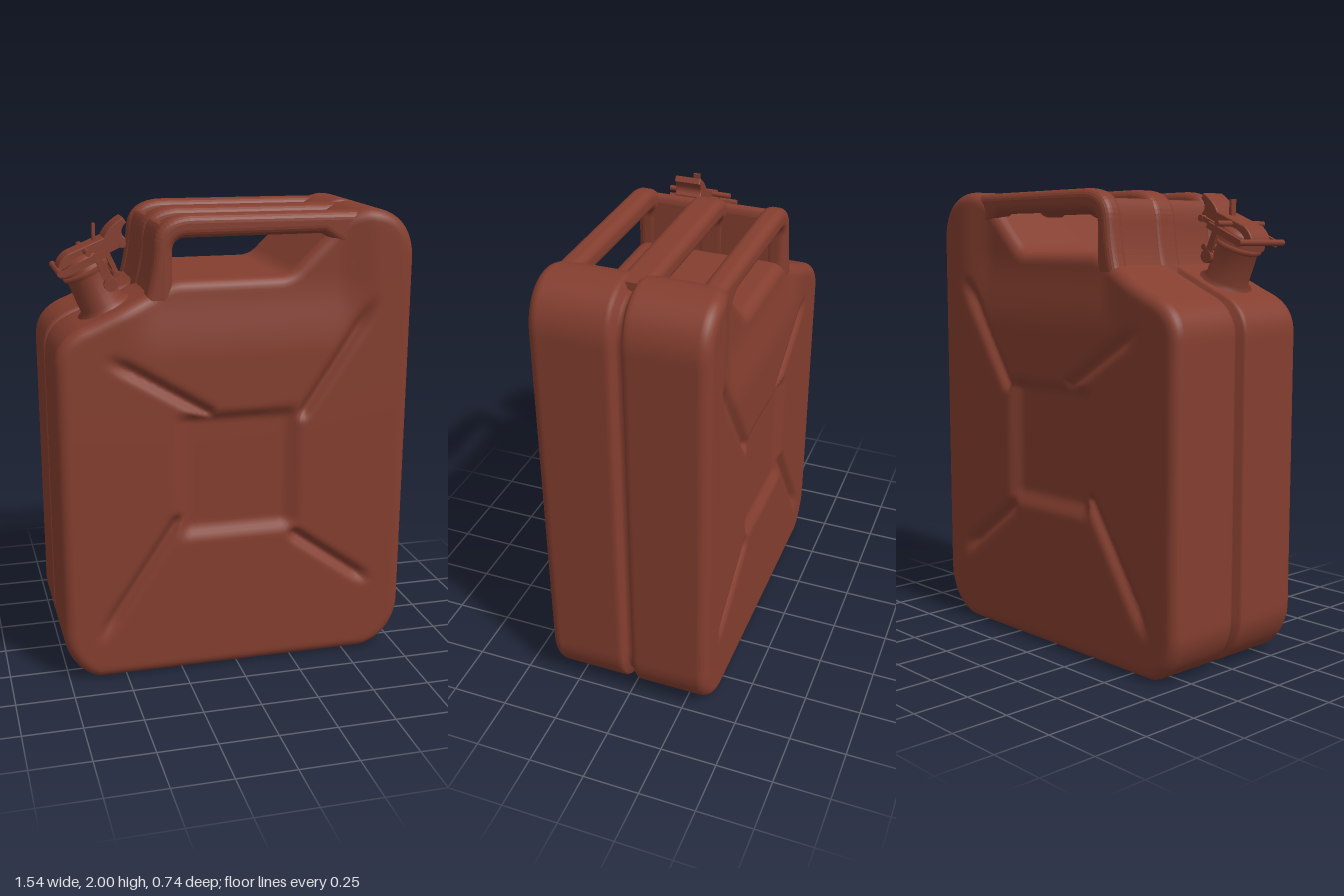
import * as THREE from 'three';

const smooth = (a, b, v) => THREE.MathUtils.smoothstep(v, a, b);
const V = (x, y) => new THREE.Vector2(x, y);

// Side outline of the can, counter-clockwise
function bodyOutline() {
  const s = new THREE.Shape();
  s.moveTo(0, 0);
  s.lineTo(0.58, 0);
  s.bezierCurveTo(0.68, 0.01, 0.76, 0.1, 0.765, 0.22);
  s.lineTo(0.768, 1.8);
  s.bezierCurveTo(0.76, 1.92, 0.69, 1.995, 0.57, 2.0);
  s.quadraticCurveTo(0.47, 1.99, 0.41, 1.91);
  s.lineTo(0.25, 1.755);
  s.quadraticCurveTo(0.22, 1.73, 0.18, 1.73);
  s.lineTo(-0.24, 1.73);
  s.quadraticCurveTo(-0.3, 1.725, -0.37, 1.68);
  s.lineTo(-0.62, 1.57);
  s.bezierCurveTo(-0.71, 1.54, -0.765, 1.49, -0.768, 1.4);
  s.lineTo(-0.768, 0.21);
  s.bezierCurveTo(-0.765, 0.12, -0.7, 0.02, -0.62, 0);
  s.closePath();
  return s.getSpacedPoints(300).slice(0, -1);
}

// Pressed diagonal channels: inner end, outer end
const channels = [
  [V(-0.13, 1.17), V(-0.57, 1.44)],
  [V(0.29, 1.15), V(0.61, 1.63)],
  [V(-0.27, 0.7), V(-0.63, 0.16)],
  [V(0.26, 0.59), V(0.63, 0.32)],
];

// Half depth of the can at a point on its broad face
function faceDepth(x, y) {
  const box = smooth(-0.29, -0.2, x) * (1 - smooth(0.2, 0.29, x))
    * smooth(0.6, 0.68, y) * (1 - smooth(1.13, 1.19, y));
  let sink = 0.03 * box;
  for (const [a, b] of channels) {
    const dir = b.clone().sub(a);
    const u = THREE.MathUtils.clamp(V(x, y).sub(a).dot(dir) / dir.lengthSq(), 0, 1);
    const d = Math.hypot(x - a.x - dir.x * u, y - a.y - dir.y * u);
    sink = Math.max(sink, 0.028 * Math.exp(-((d / 0.026) ** 2)) * (1 - smooth(0.75, 1, u)));
  }
  const taper = 0.035 * smooth(1.4, 1.73, y) * smooth(-0.5, -0.32, x) * (1 - smooth(0.42, 0.62, x));
  return 0.37 - sink - taper;
}

// Body lofted from rings: front face, rounded edge, seam groove, back
function bodyGeometry() {
  const pts = bodyOutline(), n = pts.length, R = 0.05, steps = 54;
  const inward = pts.map((p, i) => {
    const t = pts[(i + 1) % n].clone().sub(pts[(i + n - 1) % n]).normalize();
    return V(-t.y, t.x);
  });
  const inset = (i, d) => pts[i].clone().addScaledVector(inward[i], d);
  const centre = V(0, 0.9);
  const half = [];
  for (let k = 0; k <= steps; k++) {
    half.push(pts.map((p, i) => {
      const q = centre.clone().lerp(inset(i, R), k / steps);
      return [q.x, q.y, faceDepth(q.x, q.y)];
    }));
  }
  for (let k = 1; k <= 6; k++) {
    const a = (k / 6) * Math.PI / 2;
    half.push(pts.map((p, i) => {
      const q = inset(i, R), e = inset(i, R * (1 - Math.sin(a)));
      return [e.x, e.y, faceDepth(q.x, q.y) - R * (1 - Math.cos(a))];
    }));
  }
  for (const [d, z] of [[0, 0.05], [0, 0.034], [0.008, 0.024], [0.036, 0.014], [0.04, 0.006]]) {
    half.push(pts.map((p, i) => {
      const filled = smooth(1.6, 1.7, p.y) * smooth(-0.42, -0.36, p.x) * (1 - smooth(0.48, 0.54, p.x));
      const e = inset(i, d * (1 - filled));
      return [e.x, e.y, z];
    }));
  }
  const rings = [...half, ...half.slice().reverse().map(r => r.map(([x, y, z]) => [x, y, -z]))];
  const index = [];
  for (let r = 0; r < rings.length - 1; r++) {
    for (let i = 0; i < n; i++) {
      const j = (i + 1) % n, a = r * n + i, b = r * n + j;
      index.push(a, a + n, b + n, a, b + n, b);
    }
  }
  const g = new THREE.BufferGeometry();
  g.setAttribute('position', new THREE.Float32BufferAttribute(rings.flat(2), 3));
  g.setIndex(index);
  g.computeVertexNormals();
  return g;
}

// Extrusion with rounded edges, centred on z
function rounded(shape, width, bevel) {
  const g = new THREE.ExtrudeGeometry(shape, {
    depth: width - 2 * bevel, bevelThickness: bevel, bevelSize: bevel,
    bevelOffset: -bevel, bevelSegments: 5, curveSegments: 10,
  });
  return g.translate(0, 0, bevel - width / 2);
}

function handleShape() {
  const s = new THREE.Shape();
  s.moveTo(-0.27, 1.62);
  s.lineTo(-0.268, 1.85);
  s.quadraticCurveTo(-0.265, 1.9, -0.21, 1.9);
  s.lineTo(0.37, 1.9);
  s.lineTo(0.46, 1.84);
  s.lineTo(0.6, 1.86);
  s.lineTo(0.6, 1.99);
  s.lineTo(-0.2, 1.995);
  s.bezierCurveTo(-0.29, 1.99, -0.34, 1.95, -0.347, 1.87);
  s.quadraticCurveTo(-0.36, 1.71, -0.4, 1.62);
  s.closePath();
  return s;
}

function webShape() {
  const s = new THREE.Shape();
  s.moveTo(-0.272, 1.62);
  s.lineTo(-0.272, 1.92);
  s.quadraticCurveTo(-0.28, 1.965, -0.31, 1.95);
  s.quadraticCurveTo(-0.335, 1.92, -0.34, 1.85);
  s.quadraticCurveTo(-0.35, 1.71, -0.395, 1.62);
  s.closePath();
  return s;
}

export function createModel() {
  const model = new THREE.Group();
  model.name = 'fuelCan';
  const paint = new THREE.MeshStandardMaterial({ color: 0x843e2f });
  paint.name = 'rustRedPaint';
  const add = (parent, name, geometry, x = 0, y = 0, z = 0) => {
    const m = new THREE.Mesh(geometry, paint);
    m.name = name;
    m.position.set(x, y, z);
    parent.add(m);
    return m;
  };

  add(model, 'body', bodyGeometry());

  // Three carrying bars joined by a web at their front leg
  for (const [name, z, w] of [['leftBar', 0.292, 0.096], ['middleBar', 0, 0.14], ['rightBar', -0.292, 0.096]]) {
    add(model, name, rounded(handleShape(), w, 0.035), 0, 0, z);
  }
  add(model, 'handleWeb', rounded(webShape(), 0.62, 0.02));

  // Tilted spout with its clamped lid
  const spout = new THREE.Group();
  spout.name = 'spout';
  spout.position.set(-0.53, 1.6, 0.17);
  spout.rotation.z = 0.42;
  model.add(spout);
  const profile = [[0.125, -0.03], [0.115, 0.01], [0.092, 0.025], [0.088, 0.16], [0.1, 0.17], [0.1, 0.19], [0, 0.19]];
  add(spout, 'neck', new THREE.LatheGeometry(profile.map(p => V(...p)), 32));
  add(spout, 'lid', new THREE.CylinderGeometry(0.1, 0.108, 0.035, 32), 0, 0.21);
  const dome = add(spout, 'lidDome', new THREE.SphereGeometry(0.09, 24, 8, 0, Math.PI * 2, 0, Math.PI / 2), 0, 0.225);
  dome.scale.y = 0.4;

  // Clamp arms, hinge pins and latch, mirrored about the spout
  for (const s of [1, -1]) {
    add(spout, 'clampArm', new THREE.BoxGeometry(0.2, 0.028, 0.014), 0.0, 0.225, s * 0.112);
    add(spout, 'clampStrap', new THREE.BoxGeometry(0.03, 0.15, 0.014), 0.06, 0.165, s * 0.098);
    add(spout, 'strapLug', new THREE.CylinderGeometry(0.028, 0.028, 0.02, 16).rotateX(Math.PI / 2), 0.06, 0.1, s * 0.1);
    add(spout, 'latchLink', new THREE.BoxGeometry(0.1, 0.02, 0.014), 0.13, 0.225, s * 0.075);
  }
  for (const [x, y, r, l] of [[-0.105, 0.235, 0.013, 0.28], [0.03, 0.26, 0.012, 0.29], [0.175, 0.222, 0.014, 0.17], [0.1, 0.125, 0.013, 0.19]]) {
    add(spout, 'clampPin', new THREE.CylinderGeometry(r, r, l, 12).rotateX(Math.PI / 2), x, y);
  }
  add(spout, 'frontLatch', new THREE.BoxGeometry(0.02, 0.11, 0.09), 0.108, 0.165);
  add(spout, 'leverPeg', new THREE.BoxGeometry(0.012, 0.08, 0.03), 0.095, 0.3).rotation.z = -0.42;

  // Curved locking lever with upturned tip
  const lever = new THREE.Shape();
  lever.moveTo(-0.11, 0.23);
  lever.lineTo(0.1, 0.225);
  lever.quadraticCurveTo(0.16, 0.225, 0.19, 0.205);
  lever.lineTo(0.2, 0.235);
  lever.quadraticCurveTo(0.18, 0.27, 0.23, 0.29);
  lever.lineTo(0.226, 0.315);
  lever.quadraticCurveTo(0.16, 0.31, 0.12, 0.275);
  lever.lineTo(-0.04, 0.28);
  lever.quadraticCurveTo(-0.09, 0.27, -0.11, 0.23);
  add(spout, 'lockingLever', rounded(lever, 0.12, 0.006));

  return model;
}
